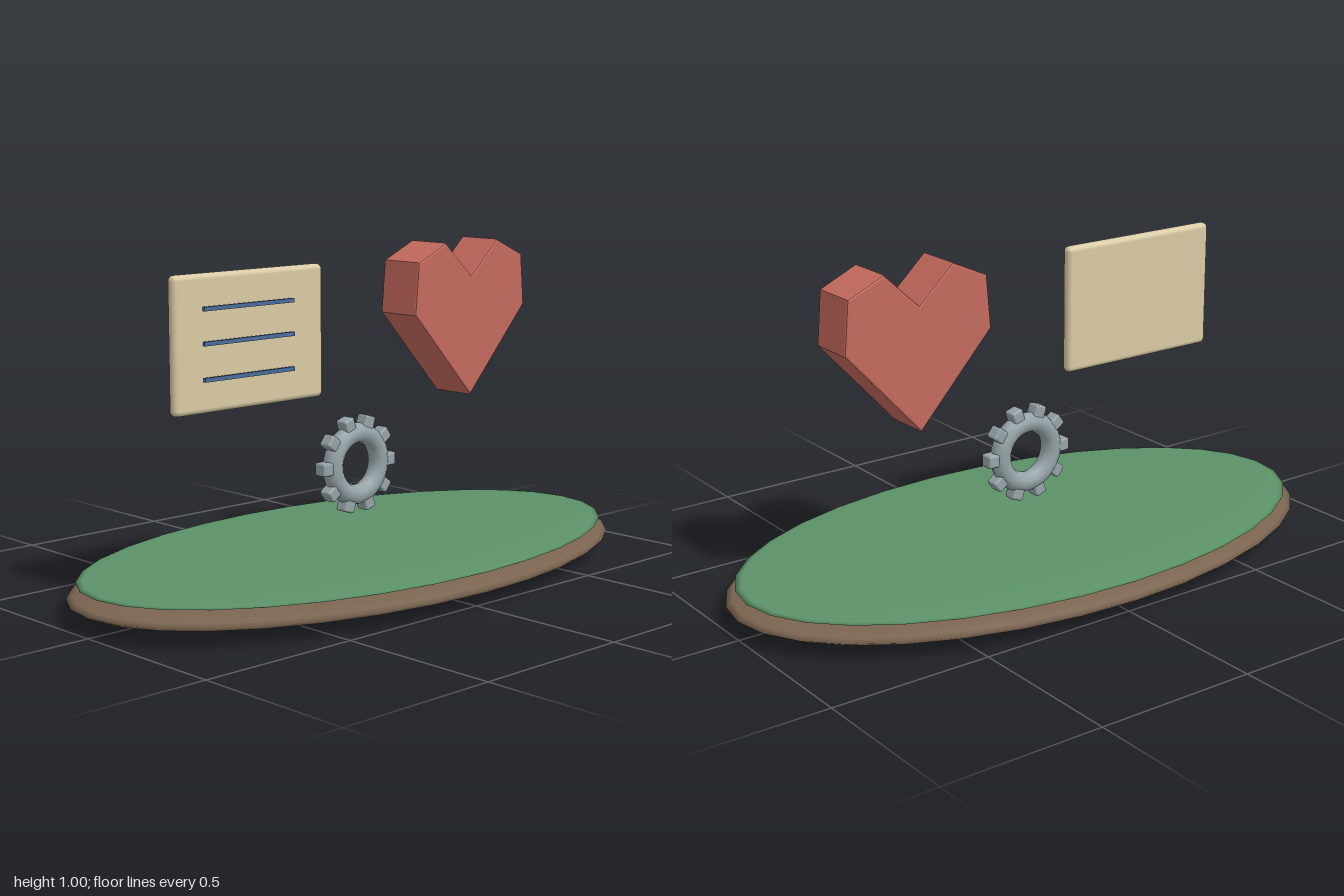
import * as THREE from 'three';
import { RoundedBoxGeometry } from 'three/addons/geometries/RoundedBoxGeometry.js';

const paint = (color, flatShading = false) => {
  const m = new THREE.MeshStandardMaterial({ color });
  m.flatShading = flatShading;
  return m;
};

function add(parent, name, geometry, material, x = 0, y = 0, z = 0) {
  const mesh = new THREE.Mesh(geometry, material);
  mesh.name = name;
  mesh.position.set(x, y, z);
  parent.add(mesh);
  return mesh;
}

// Island: a flattened ellipsoid of earth with a thinner one of grass on top
function buildIsland() {
  const island = new THREE.Group();
  island.name = 'island';
  const ball = new THREE.SphereGeometry(1, 32, 16);
  add(island, 'earth', ball, paint(0x7a6450), 0, 0.059).scale.set(1, 0.057, 0.545);
  add(island, 'grass', ball, paint(0x5c9268), 0, 0.103).scale.set(0.97, 0.017, 0.523);
  return island;
}

// Note card with three raised text lines on its front
function buildNote() {
  const note = new THREE.Group();
  note.name = 'noteCard';
  note.position.set(-0.425, 0.767, 0);
  add(note, 'card', new RoundedBoxGeometry(0.553, 0.392, 0.036, 3, 0.016), paint(0xd8caa4));
  const line = new THREE.BoxGeometry(0.332, 0.012, 0.01);
  const ink = paint(0x4a6c9c);
  [0.1, 0.003, -0.098].forEach((y) => add(note, 'noteLine', line, ink, -0.019, y, 0.032));
  return note;
}

// Gear: a ring with ten blocky teeth
function buildGear() {
  const gear = new THREE.Group();
  gear.name = 'gear';
  gear.position.set(0, 0.347, 0);
  const steel = paint(0x95a3a7);
  add(gear, 'gearRing', new THREE.TorusGeometry(0.095, 0.031, 10, 28), steel);
  const tooth = new RoundedBoxGeometry(0.044, 0.04, 0.044, 2, 0.007);
  for (let i = 0; i < 10; i++) {
    const a = (i / 10) * Math.PI * 2;
    add(gear, 'gearTooth', tooth, steel, 0.128 * Math.cos(a), 0.128 * Math.sin(a)).rotation.z = a;
  }
  return gear;
}

// Faceted heart: half outline mirrored, extruded with a slight bevel
function buildHeart() {
  const half = [[0.115, 0.24], [0.232, 0.187], [0.246, 0.027]];
  const outline = [
    [0, -0.24],
    ...half.slice().reverse(),
    [0, 0.133],
    ...half.map(([x, y]) => [-x, y]),
  ].map(([x, y]) => new THREE.Vector2(x, y));
  const bevel = 0.006;
  const geometry = new THREE.ExtrudeGeometry(new THREE.Shape(outline), {
    depth: 0.15 - 2 * bevel, bevelEnabled: true, bevelSegments: 2,
    bevelSize: bevel, bevelThickness: bevel, bevelOffset: -bevel,
  });
  geometry.center();
  const heart = new THREE.Mesh(geometry, paint(0xc4695d, true));
  heart.name = 'heart';
  heart.position.set(0.425, 0.76, 0);
  return heart;
}

export function createModel() {
  const model = new THREE.Group();
  model.name = 'floatingIconsIsland';
  model.add(buildIsland(), buildNote(), buildGear(), buildHeart());
  return model;
}
